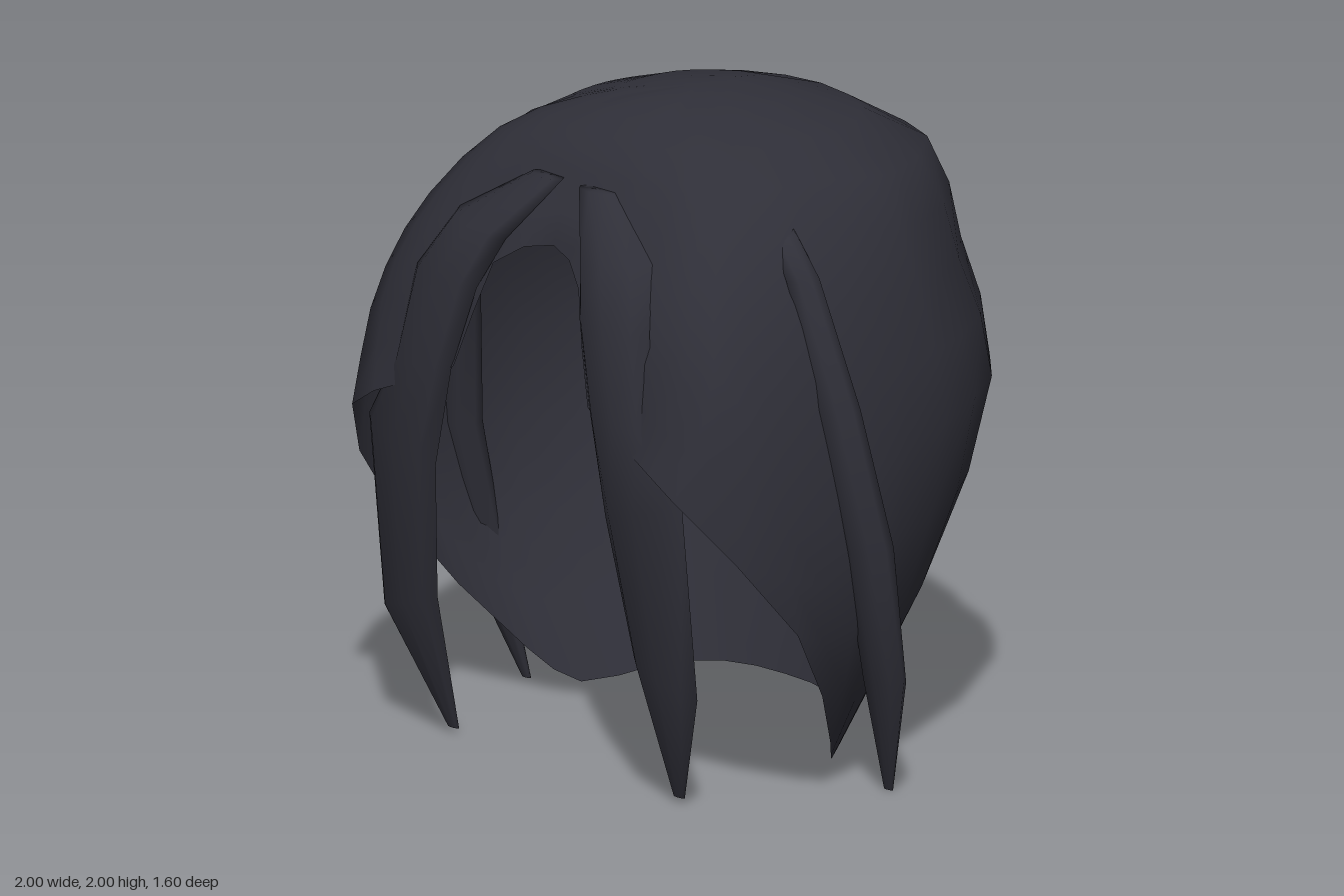
import * as THREE from 'three';
import { mergeVertices } from 'three/addons/utils/BufferGeometryUtils.js';

const V = (x, y, z) => new THREE.Vector3(x, y, z);

// Skin closed rings (ordered top to bottom, running from front towards +x).
function loft(rings) {
  const n = rings[0].length, pos = [], idx = [];
  rings.forEach(r => r.forEach(p => pos.push(p.x, p.y, p.z)));
  for (let r = 0; r < rings.length - 1; r++) {
    for (let c = 0; c < n; c++) {
      const a = r * n + c, b = r * n + (c + 1) % n;
      idx.push(a, a + n, b, b, a + n, b + n);
    }
  }
  let g = new THREE.BufferGeometry();
  g.setAttribute('position', new THREE.Float32BufferAttribute(pos, 3));
  g.setIndex(idx);
  g = mergeVertices(g, 1e-5);
  g.computeVertexNormals();
  return g;
}

// Hair cap: guide lines running from the crown to the rim, +x half only.
const CROWN = [0, 2, 0.06];
const FRONT_GUIDES = [
  [[0, 1.97, 0.3], [0, 1.87, 0.48], [0, 1.76, 0.56], [0, 1.68, 0.61], [0, 1.61, 0.63]],
  [[0.09, 1.97, 0.29], [0.18, 1.87, 0.47], [0.2, 1.77, 0.55], [0.2, 1.65, 0.64], [0.19, 1.53, 0.7]],
  [[0.14, 1.965, 0.27], [0.28, 1.87, 0.45], [0.34, 1.72, 0.57], [0.36, 1.5, 0.7], [0.3, 1.2, 0.76]],
  [[0.18, 1.965, 0.25], [0.4, 1.85, 0.44], [0.5, 1.65, 0.6], [0.57, 1.4, 0.72], [0.5, 1.11, 0.78]],
  [[0.21, 1.965, 0.22], [0.49, 1.84, 0.38], [0.65, 1.6, 0.57], [0.75, 1.32, 0.67], [0.72, 1, 0.79]],
];
const BACK_GUIDES = [
  [[0.23, 1.965, 0.18], [0.55, 1.83, 0.25], [0.74, 1.55, 0.39], [0.84, 1.2, 0.47], [0.885, 0.9, 0.49], [0.9, 0.57, 0.46]],
  [[0.24, 1.97, 0.1], [0.57, 1.83, 0.12], [0.78, 1.5, 0.16], [0.88, 1.02, 0.22], [0.87, 0.54, 0.21], [0.68, 0.14, 0.14]],
  [[0.24, 1.97, 0.03], [0.59, 1.82, -0.01], [0.76, 1.5, -0.04], [0.86, 1.05, -0.01], [0.8, 0.5, 0.05], [0.56, 0.04, 0.03]],
  [[0.23, 1.97, -0.05], [0.58, 1.8, -0.2], [0.7, 1.49, -0.27], [0.76, 1.12, -0.36], [0.68, 0.55, -0.22], [0.42, 0.09, -0.15]],
  [[0.17, 1.97, -0.14], [0.34, 1.8, -0.54], [0.4, 1.49, -0.62], [0.45, 1.12, -0.69], [0.48, 0.6, -0.4], [0.24, 0.12, -0.25]],
  [[0, 1.98, -0.2], [0, 1.8, -0.61], [0, 1.5, -0.7], [0, 1.14, -0.8], [0, 0.68, -0.53], [0, 0.125, -0.28]],
];

function capGeometry() {
  const ROWS = 12;
  const half = [...FRONT_GUIDES, ...BACK_GUIDES].map(guide =>
    new THREE.CatmullRomCurve3([CROWN, ...guide].map(p => V(...p))).getPoints(ROWS));
  const mirrored = half.slice(1, -1).reverse().map(col => col.map(p => V(-p.x, p.y, p.z)));
  const columns = [...half, ...mirrored];
  const rings = [];
  for (let r = 0; r <= ROWS; r++) {
    if (r === 0) {
      rings.push(Array.from({ length: columns.length * 2 }, () => V(...CROWN)));
      continue;
    }
    const ring = new THREE.CatmullRomCurve3(columns.map(c => c[r]), true).getPoints(columns.length * 2);
    ring.pop();
    rings.push(ring);
  }
  return loft(rings);
}

// Strand: each section is [edge A xyz, edge B xyz, half thickness along the depth axis].
function strandGeometry(sections, depth, side) {
  const SIDES = 8;
  const rings = sections.map(([ax, ay, az, bx, by, bz, t]) => {
    const mid = V(ax + bx, ay + by, az + bz).multiplyScalar(0.5);
    const across = V(bx - ax, by - ay, bz - az).multiplyScalar(0.5);
    const ring = [];
    for (let i = 0; i < SIDES; i++) {
      const a = i / SIDES * Math.PI * 2;
      const p = mid.clone().addScaledVector(across, Math.sin(a)).addScaledVector(depth, t * Math.cos(a));
      p.x *= side;
      ring.push(p);
    }
    return side < 0 ? ring.reverse() : ring;
  });
  // close both ends
  const centre = ring => {
    const c = ring.reduce((s, p) => s.add(p), V(0, 0, 0)).divideScalar(SIDES);
    return ring.map(() => c.clone());
  };
  return loft([centre(rings[0]), ...rings, centre(rings[rings.length - 1])]);
}

const FRINGE = [
  [0.04, 1.79, 0.56, 0.18, 1.79, 0.55, 0.035],
  [0.17, 1.6, 0.67, 0.43, 1.64, 0.62, 0.065],
  [0.23, 1.45, 0.73, 0.52, 1.46, 0.71, 0.05],
  [0.31, 1.19, 0.76, 0.58, 1.17, 0.74, 0.045],
  [0.38, 0.88, 0.76, 0.7, 0.97, 0.74, 0.045],
  [0.44, 0.45, 0.7, 0.7, 0.37, 0.68, 0.04],
  [0.48, 0.015, 0.58, 0.53, 0.015, 0.58, 0.008],
];
const SIDE_LOCK = [
  [0.64, 1.69, 0.33, 0.64, 1.73, 0.25, 0.025],
  [0.725, 1.6, 0.35, 0.73, 1.6, 0.24, 0.05],
  [0.85, 1.22, 0.33, 0.85, 1.22, 0.2, 0.08],
  [0.92, 0.8, 0.27, 0.92, 0.8, 0.13, 0.08],
  [0.895, 0.37, 0.16, 0.895, 0.37, 0.07, 0.085],
  [0.81, 0, 0.032, 0.81, 0, 0.018, 0.02],
];

export function createModel() {
  const hair = new THREE.MeshStandardMaterial({ color: 0x2f2f38, side: THREE.DoubleSide });
  hair.name = 'charcoal hair';
  const model = new THREE.Group();
  model.name = 'hair';
  const add = (name, geometry) => {
    const mesh = new THREE.Mesh(geometry, hair);
    mesh.name = name;
    model.add(mesh);
  };

  add('hairCap', capGeometry());
  for (const [label, side] of [['left', 1], ['right', -1]]) {
    add(label + 'FringeStrand', strandGeometry(FRINGE, V(0, 0, 1), side));
    add(label + 'SideLock', strandGeometry(SIDE_LOCK, V(1, 0, 0), side));
  }
  return model;
}
